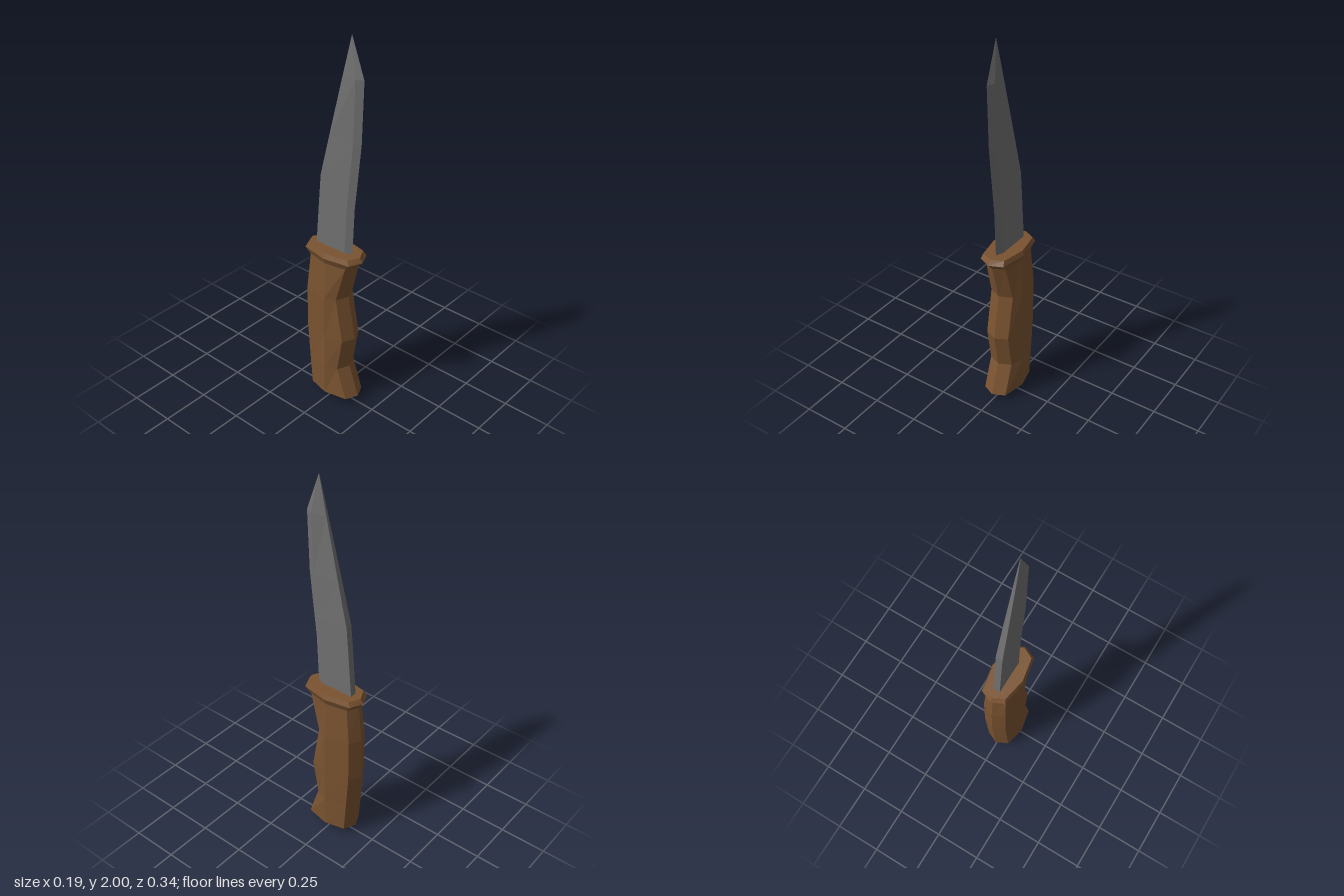
import * as THREE from 'three';

// Skin a stack of rings (each counter-clockwise seen from above) and cap both ends
function loft(rings) {
  const pos = [];
  const a = new THREE.Vector3(), b = new THREE.Vector3();
  const tri = (p, q, r) => {
    a.set(q[0] - p[0], q[1] - p[1], q[2] - p[2]);
    b.set(r[0] - p[0], r[1] - p[1], r[2] - p[2]);
    if (a.cross(b).length() > 1e-9) pos.push(...p, ...q, ...r);
  };
  const n = rings[0].length;
  const centre = (ring) => [0, 1, 2].map((k) => ring.reduce((s, p) => s + p[k], 0) / n);
  const first = rings[0], last = rings[rings.length - 1];
  const c0 = centre(first), c1 = centre(last);
  for (let i = 0; i < n; i++) {
    const j = (i + 1) % n;
    for (let k = 0; k < rings.length - 1; k++) {
      const lo = rings[k], up = rings[k + 1];
      tri(lo[i], lo[j], up[j]);
      tri(lo[i], up[j], up[i]);
    }
    tri(c0, first[j], first[i]);
    tri(c1, last[i], last[j]);
  }
  const geo = new THREE.BufferGeometry();
  geo.setAttribute('position', new THREE.Float32BufferAttribute(pos, 3));
  geo.computeVertexNormals();
  return geo;
}

// Elongated octagon with pointed front and back
function gripRing([y, front, back, half]) {
  const w = half * 0.72, mid = 0, inset = 0.03;
  return [
    [0, y, front], [w, y, front - inset], [half, y, mid], [w, y, back + inset],
    [0, y, back], [-w, y, back + inset], [-half, y, mid], [-w, y, front - inset],
  ];
}

// Flat spine, thick body and a bevel running to the cutting edge at the front
function bladeRing([y, front, back, spine, body, bevel]) {
  return [
    [0, y, front], [body, y, front - bevel], [spine, y, back],
    [-spine, y, back], [-body, y, front - bevel],
  ];
}

export function createModel() {
  const wood = new THREE.MeshStandardMaterial({ color: 0x7a5330 });
  wood.name = 'brownWood';
  const steel = new THREE.MeshStandardMaterial({ color: 0x707070 });
  steel.name = 'greySteel';

  const group = new THREE.Group();
  group.name = 'knife';
  const add = (name, geo, mat) => {
    const mesh = new THREE.Mesh(geo, mat);
    mesh.name = name;
    group.add(mesh);
  };

  // Grip with finger grooves and a shallow pointed butt: [y, front z, back z, half width]
  const butt = Array.from({ length: 8 }, () => [0, 0, 0.01]);
  const grip = [
    [0.04, 0.153, -0.138, 0.09],
    [0.21, 0.095, -0.151, 0.09],
    [0.4, 0.127, -0.165, 0.09],
    [0.64, 0.085, -0.165, 0.09],
    [0.84, 0.139, -0.146, 0.079],
  ].map(gripRing);
  add('handle', loft([butt, ...grip]), wood);

  // Flared collar
  const collar = [
    [0.84, 0.139, -0.146, 0.079],
    [0.875, 0.17, -0.172, 0.093],
    [0.9, 0.154, -0.156, 0.084],
  ].map(gripRing);
  add('guard', loft(collar), wood);

  // Blade: [y, edge z, spine z, spine half, body half, bevel depth]
  const blade = [
    [0.88, 0.105, -0.112, 0.018, 0.018, 0.035],
    [1.15, 0.117, -0.091, 0.018, 0.018, 0.035],
    [1.28, 0.131, -0.08, 0.018, 0.018, 0.035],
    [1.5, 0.154, -0.028, 0.014, 0.018, 0.035],
    [1.81, 0.164, 0.046, 0.007, 0.018, 0.037],
    [2, 0.093, 0.091, 0.001, 0.001, 0.001],
  ].map(bladeRing);
  add('blade', loft(blade), steel);

  for (const m of [wood, steel]) m.flatShading = true;
  return group;
}
